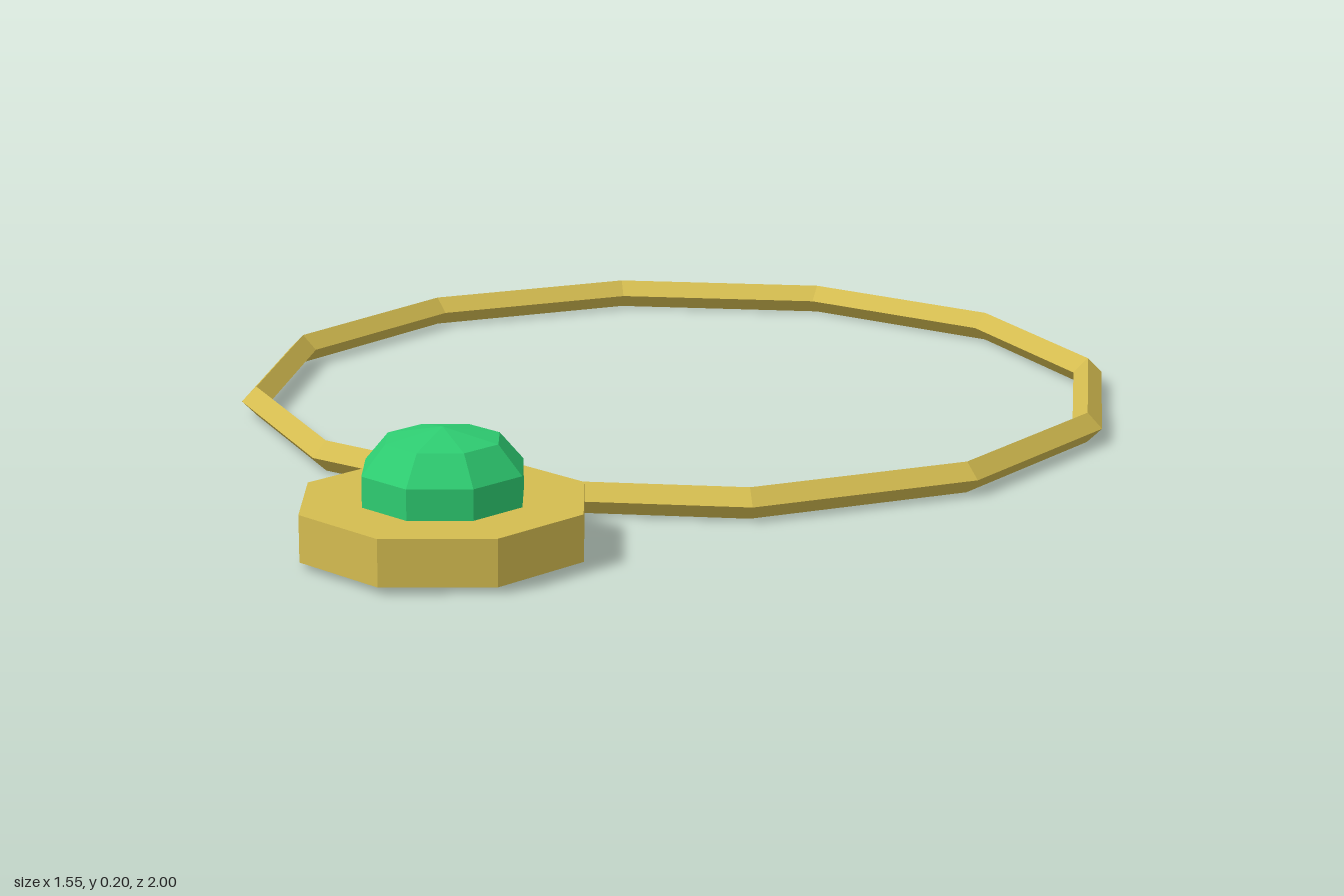
import * as THREE from 'three';

const material = (color) => new THREE.MeshStandardMaterial({ color, flatShading: true });

export function createModel() {
  const group = new THREE.Group();
  const gold = material(0xd4bc50);
  const green = material(0x2ecc71);

  const add = (name, geometry, mat, y, z) => {
    const mesh = new THREE.Mesh(geometry, mat);
    mesh.name = name;
    mesh.position.set(0, y, z);
    group.add(mesh);
  };

  // Twelve-sided band with a diamond cross-section, lying flat
  const band = new THREE.TorusGeometry(0.75, 0.026, 4, 12).rotateX(Math.PI / 2);
  add('band', band, gold, 0.027, -0.224);

  // Octagonal setting at the front of the band
  const pendantZ = 0.767;
  add('setting', new THREE.CylinderGeometry(0.233, 0.233, 0.075, 8), gold, 0.0485, pendantZ);

  // Faceted gem: upright girdle below a low dome
  const profile = [[0, 0], [0.132, 0], [0.132, 0.051], [0.093, 0.097], [0, 0.116]]
    .map(([r, y]) => new THREE.Vector2(r, y));
  add('gem', new THREE.LatheGeometry(profile, 8), green, 0.084, pendantZ);

  return group;
}
